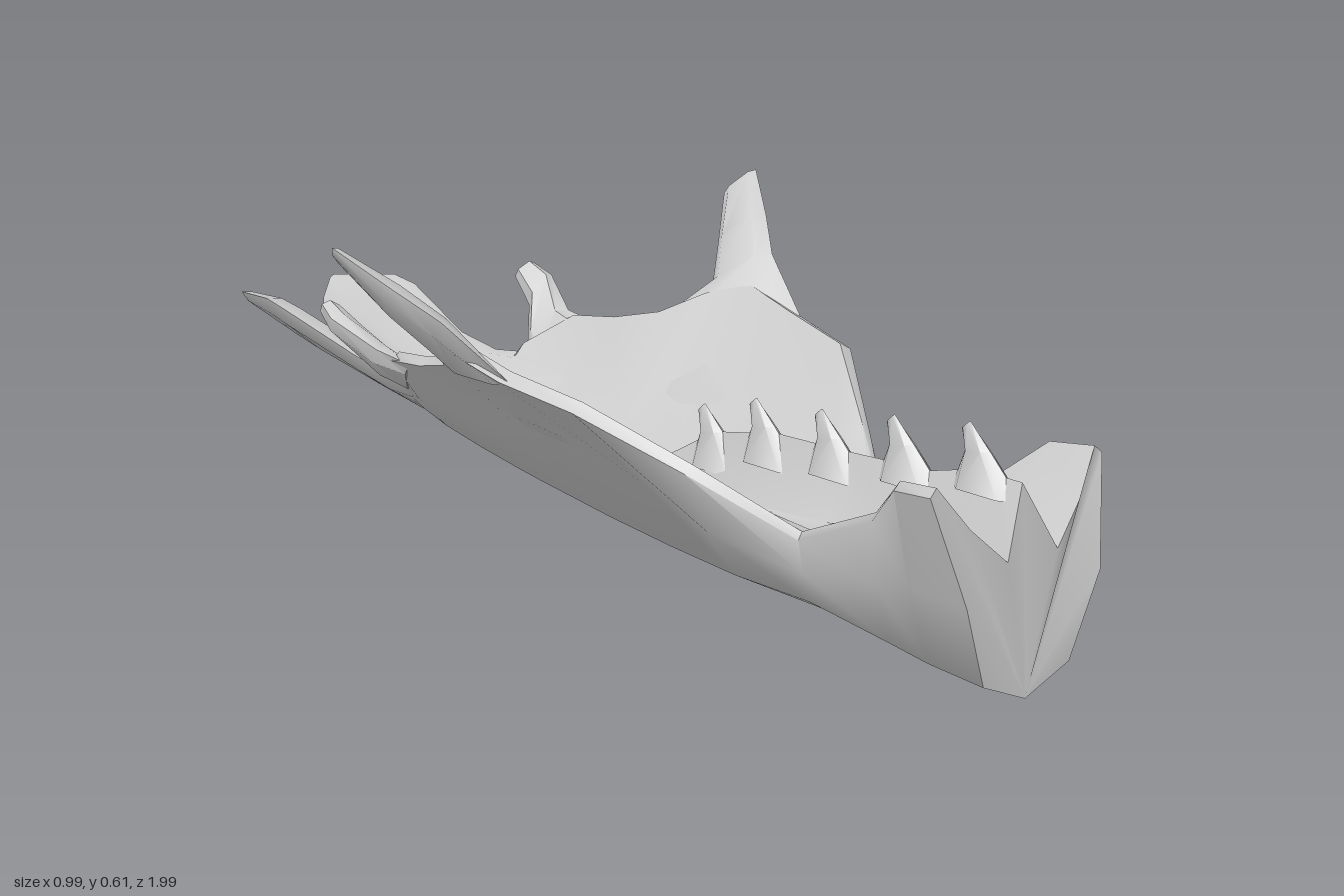
import * as THREE from 'three';
import { toCreasedNormals } from 'three/addons/utils/BufferGeometryUtils.js';

const material = new THREE.MeshStandardMaterial({ color: 0xcccccc, side: THREE.DoubleSide });
const lerp = THREE.MathUtils.lerp;

// Skin a closed solid over a list of equal-length rings of [x, y, z] points.
function loft(name, rings, crease) {
  const n = rings[0].length, last = (rings.length - 1) * n, index = [];
  for (let i = 0; i < rings.length - 1; i++) {
    for (let j = 0; j < n; j++) {
      const a = i * n + j, b = i * n + (j + 1) % n;
      index.push(a, a + n, b, b, a + n, b + n);
    }
  }
  for (let j = 1; j < n - 1; j++) {
    index.push(0, j, j + 1, last, last + j + 1, last + j);
  }
  const geometry = new THREE.BufferGeometry();
  geometry.setAttribute('position', new THREE.Float32BufferAttribute(rings.flat(2), 3));
  geometry.setIndex(index);
  const mesh = new THREE.Mesh(toCreasedNormals(geometry, crease), material);
  mesh.name = name;
  return mesh;
}

// Tapering blade: every station has two edge points and a half thickness.
function blade(name, stations, side = 1) {
  const edges = stations.map(([a, b, t]) => ({
    a: new THREE.Vector3(a[0] * side, a[1], a[2]),
    b: new THREE.Vector3(b[0] * side, b[1], b[2]), t,
  }));
  const centre = (e) => e.a.clone().add(e.b).multiplyScalar(0.5);
  const rings = edges.map((e, i) => {
    const along = centre(edges[Math.min(i + 1, edges.length - 1)]).sub(centre(edges[Math.max(i - 1, 0)]));
    const across = e.b.clone().sub(e.a);
    const normal = along.cross(across).normalize();
    const at = (k, s) => e.a.clone().addScaledVector(across, k).addScaledVector(normal, s * e.t).toArray();
    return [at(0, 0), at(0.2, 1), at(0.8, 1), at(1, 0), at(0.8, -1), at(0.2, -1)];
  });
  return loft(name, rings, 0.8);
}

// Shell stations: z, keel y, rim x, rim y, valley y, ridge y.
const shell = [
  [0.98, 0.002, 0.198, 0.37, 0.245, 0.36],
  [0.86, 0.01, 0.187, 0.36, 0.24, 0.36],
  [0.76, 0.018, 0.135, 0.275, 0.235, 0.335],
  [0.56, 0.035, 0.105, 0.19, 0.21, 0.325],
  [0.4, 0.048, 0.215, 0.29, 0.2, 0.32],
  [0.24, 0.06, 0.325, 0.382, 0.18, 0.29],
  [0.08, 0.076, 0.352, 0.408, 0.16, 0.2],
  [-0.03, 0.09, 0.36, 0.435, 0.155, 0.16],
  [-0.11, 0.1, 0.32, 0.41, 0.16, 0.155],
  [-0.18, 0.11, 0.264, 0.37, 0.165, 0.155],
  [-0.28, 0.126, 0.24, 0.345, 0.175, 0.165],
  [-0.38, 0.145, 0.225, 0.332, 0.187, 0.175],
  [-0.45, 0.165, 0.155, 0.275, 0.195, 0.18],
];

function shellRing([z, keel, rimX, rimY, valleyY, ridge], i) {
  const corner = [Math.min(0.1, 0.03 + 0.45 * rimX), keel + 0.042];
  const wall = [Math.min(0.165, lerp(corner[0], rimX, 0.56)), lerp(corner[1], rimY, 0.45)];
  const lip = [rimX * 0.92, rimY + 0.014];
  const valley = [lerp(0.035, 0.058, THREE.MathUtils.clamp(z, 0, 1)), valleyY];
  // A sagging point keeps the bowl hollow between lip and valley.
  const bowl = [
    lerp(lip[0], valley[0], 0.45),
    lerp(lip[1], valley[1], 0.45) - 0.1 * (lip[0] - valley[0]),
  ];
  const half = [corner, wall, [rimX, rimY], lip, bowl, valley];
  const mirrored = half.map(([x, y]) => [-x, y]).reverse();
  const ring = [[0, keel], ...half, [0, ridge], ...mirrored];
  // The front plate is bowed and leans back above its middle.
  const lean = (y) => (y > 0.2 ? 0.24 : 0.1) * Math.abs(y - 0.2);
  return ring.map(([x, y]) => [x, y, i === 0 ? 1 - lean(y) - 0.2 * x * x : z]);
}

// Blade stations: one edge, the other edge, half thickness.
const wingSpike = [
  [[0.34, 0.405, 0.1], [0.25, 0.365, -0.19], 0.01],
  [[0.387, 0.497, -0.03], [0.325, 0.425, -0.125], 0.02],
  [[0.437, 0.55, -0.1], [0.375, 0.487, -0.165], 0.02],
  [[0.494, 0.615, -0.19], [0.443, 0.572, -0.222], 0.008],
];
const rearSpike = [
  [[0.225, 0.335, -0.33], [0.14, 0.255, -0.43], 0.012],
  [[0.228, 0.345, -0.42], [0.165, 0.285, -0.465], 0.02],
  [[0.262, 0.392, -0.51], [0.198, 0.345, -0.5], 0.02],
  [[0.252, 0.41, -0.55], [0.212, 0.388, -0.558], 0.014],
];
const tailProng = [
  [[0.17, 0.265, -0.28], [0.005, 0.145, -0.28], 0.006],
  [[0.15, 0.272, -0.44], [0.005, 0.17, -0.42], 0.02],
  [[0.132, 0.265, -0.52], [0.006, 0.182, -0.52], 0.022],
  [[0.13, 0.28, -0.62], [0.016, 0.2, -0.62], 0.02],
  [[0.157, 0.338, -0.8], [0.035, 0.24, -0.8], 0.02],
  [[0.153, 0.347, -0.86], [0.04, 0.255, -0.87], 0.018],
  [[0.112, 0.328, -1.0], [0.046, 0.28, -0.95], 0.01],
];

// Backward-hooked teeth along the ridge: tip z and tip y.
const teeth = [[0.84, 0.437], [0.67, 0.412], [0.5, 0.386], [0.34, 0.372], [0.21, 0.335]];

export function createModel() {
  const model = new THREE.Group();
  model.name = 'spinedShell';
  model.add(loft('shell', shell.map(shellRing), 1));

  for (const [side, label] of [[1, 'left'], [-1, 'right']]) {
    model.add(blade(label + 'WingSpike', wingSpike, side));
    model.add(blade(label + 'RearSpike', rearSpike, side));
    model.add(blade(label + 'TailProng', tailProng, side));
  }

  const ridge = new THREE.Group();
  ridge.name = 'ridgeTeeth';
  for (const [z, y] of teeth) {
    ridge.add(blade('tooth', [
      [[0, y - 0.11, z + 0.12], [0, y - 0.11, z - 0.03], 0.026],
      [[0, y - 0.042, z + 0.05], [0, y - 0.05, z - 0.005], 0.012],
      [[0, y, z + 0.005], [0, y - 0.016, z - 0.013], 0.003],
    ]));
  }
  model.add(ridge);
  return model;
}
